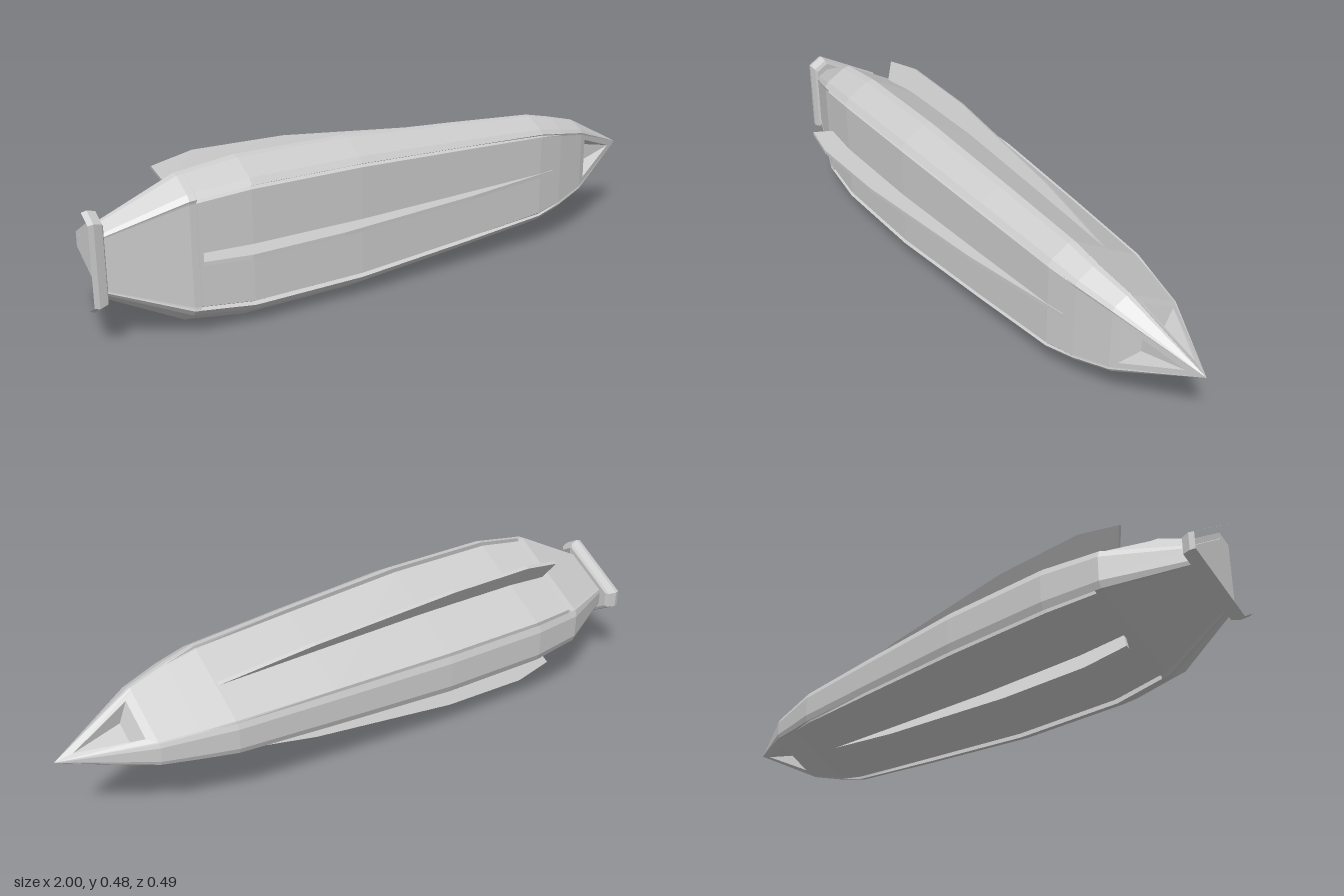
import * as THREE from 'three';

const CY = 0.24, CZ = 0.005;
const material = new THREE.MeshStandardMaterial({ color: 0xcccccc, flatShading: true });

// Point on side k (three sides around the x axis): n = outward, t = along the side
function sidePoint(x, n, t, k, cy = CY, cz = CZ) {
  const a = (k * Math.PI * 2) / 3, c = Math.cos(a), s = Math.sin(a);
  return [x, cy + n * s + t * c, cz + n * c - t * s];
}

function meshFrom(name, positions) {
  const geometry = new THREE.BufferGeometry();
  geometry.setAttribute('position', new THREE.Float32BufferAttribute(positions, 3));
  geometry.computeVertexNormals();
  const mesh = new THREE.Mesh(geometry, material);
  mesh.name = name;
  return mesh;
}

const tri = (out, a, b, c) => out.push(...a, ...b, ...c);
function quad(out, a, b, c, d) {
  tri(out, a, b, c);
  tri(out, a, c, d);
}

// Skin between successive rings
function loft(out, rings) {
  for (let i = 0; i + 1 < rings.length; i++) {
    const p = rings[i], q = rings[i + 1], m = p.length;
    for (let j = 0; j < m; j++) quad(out, p[j], q[j], q[(j + 1) % m], p[(j + 1) % m]);
  }
}

function cap(out, ring, center, forward) {
  ring.forEach((p, j) => {
    const q = ring[(j + 1) % ring.length];
    if (forward) tri(out, center, p, q);
    else tri(out, center, q, p);
  });
}

// Truncated-triangle section with a groove either side of each panel
function hullRing(x, scale, groove, cy, cz) {
  const half = [[0.172, 0.166], [0.173 - 0.013 * groove, 0.172], [0.175, 0.178], [0.16, 0.1965]];
  const side = [...half.map(([n, t]) => [n, -t]).reverse(), ...half];
  const ring = [];
  for (let k = 0; k < 3; k++)
    for (const [n, t] of side) ring.push(sidePoint(x, n * scale, t * scale, k, cy, cz));
  return ring;
}

function buildHull() {
  const stations = [
    [-0.96, 0.45, 0], [-0.74, 0.9, 0], [-0.72, 0.91, 0], [-0.718, 0.91, 1], [-0.56, 1, 1],
    [-0.2, 0.995, 1], [0.2, 0.885, 1], [0.52, 0.785, 0.5], [0.62, 0.69, 0],
  ];
  const rings = stations.map(([x, s, g]) => hullRing(x, s, g, CY, CZ));
  rings.push(hullRing(0.74, 0.55, 0, 0.241, -0.002));
  const out = [];
  loft(out, rings);
  cap(out, rings[0], [-0.96, CY, CZ], false);
  return meshFrom('hull', out);
}

// Pointed nose with a triangular pocket sunk into each side
function buildNose() {
  const out = [], tip = [1, 0.244, -0.012];
  const ring = hullRing(0.74, 0.55, 0, 0.241, -0.002);
  ring.forEach((p, j) => {
    const q = ring[(j + 1) % ring.length];
    if (j % 8 !== 3) {
      tri(out, p, tip, q);
      return;
    }
    const k = Math.floor(j / 8);
    // a point on the sloping nose side at station x
    const at = (x, n, t) => sidePoint(x, n, t, k, 0.242, -0.002 - ((x - 0.74) / 0.26) * 0.01);
    const a0 = at(0.765, 0.0855, -0.066), a1 = at(0.765, 0.0855, 0.066);
    const b0 = at(0.79, 0.03, -0.034), b1 = at(0.79, 0.03, 0.034);
    const end = at(0.945, 0.02, 0);
    quad(out, p, a0, a1, q);
    quad(out, p, tip, end, a0);
    quad(out, tip, q, a1, end);
    quad(out, a0, b0, b1, a1);
    tri(out, a0, end, b0);
    tri(out, a1, b1, end);
    tri(out, b0, end, b1);
  });
  return meshFrom('nose', out);
}

// Flared collar closing the tail
function buildTailCollar() {
  const D = 0.155, w = 0.026, n = D / 2 + w * 0.866, t = D * 0.866 - w / 2;
  const ring = (x, s) => {
    const r = [];
    for (let k = 0; k < 3; k++) for (const e of [-1, 1]) r.push(sidePoint(x, n * s, e * t * s, k, 0.245, -0.004));
    return r;
  };
  const rings = [ring(-1, 0.97), ring(-0.985, 1), ring(-0.96, 0.95), ring(-0.955, 0.87)];
  const out = [];
  loft(out, rings);
  cap(out, rings[0], [-1, 0.245, -0.004], false);
  cap(out, rings[3], [-0.955, 0.245, -0.004], true);
  return meshFrom('tailCollar', out);
}

// Long thin fin along the middle of a side
function buildFin(k, endX) {
  const shape = new THREE.Shape(
    [[-0.7, 0.13], [endX, 0.1], [endX, 0.128 - (endX - 0.58) * 0.2], [0.2, 0.188], [-0.3, 0.239],
      [-0.6, 0.244], [-0.735, 0.218], [-0.705, 0.155]].map(([x, n]) => new THREE.Vector2(x, n)));
  const geometry = new THREE.ExtrudeGeometry(shape, { depth: 0.012, bevelEnabled: false });
  geometry.translate(0, 0, -0.006).rotateX(Math.PI / 2);
  const fin = new THREE.Mesh(geometry, material);
  fin.rotation.x = (-k * Math.PI * 2) / 3;
  fin.position.set(0, CY, CZ);
  fin.name = ['frontFin', 'upperRearFin', 'lowerRearFin'][k];
  return fin;
}

export function createModel() {
  const group = new THREE.Group();
  group.name = 'spacecraft';
  group.add(buildHull(), buildNose(), buildTailCollar());
  for (let k = 0; k < 3; k++) group.add(buildFin(k, k === 0 ? 0.58 : 0.7));
  return group;
}
